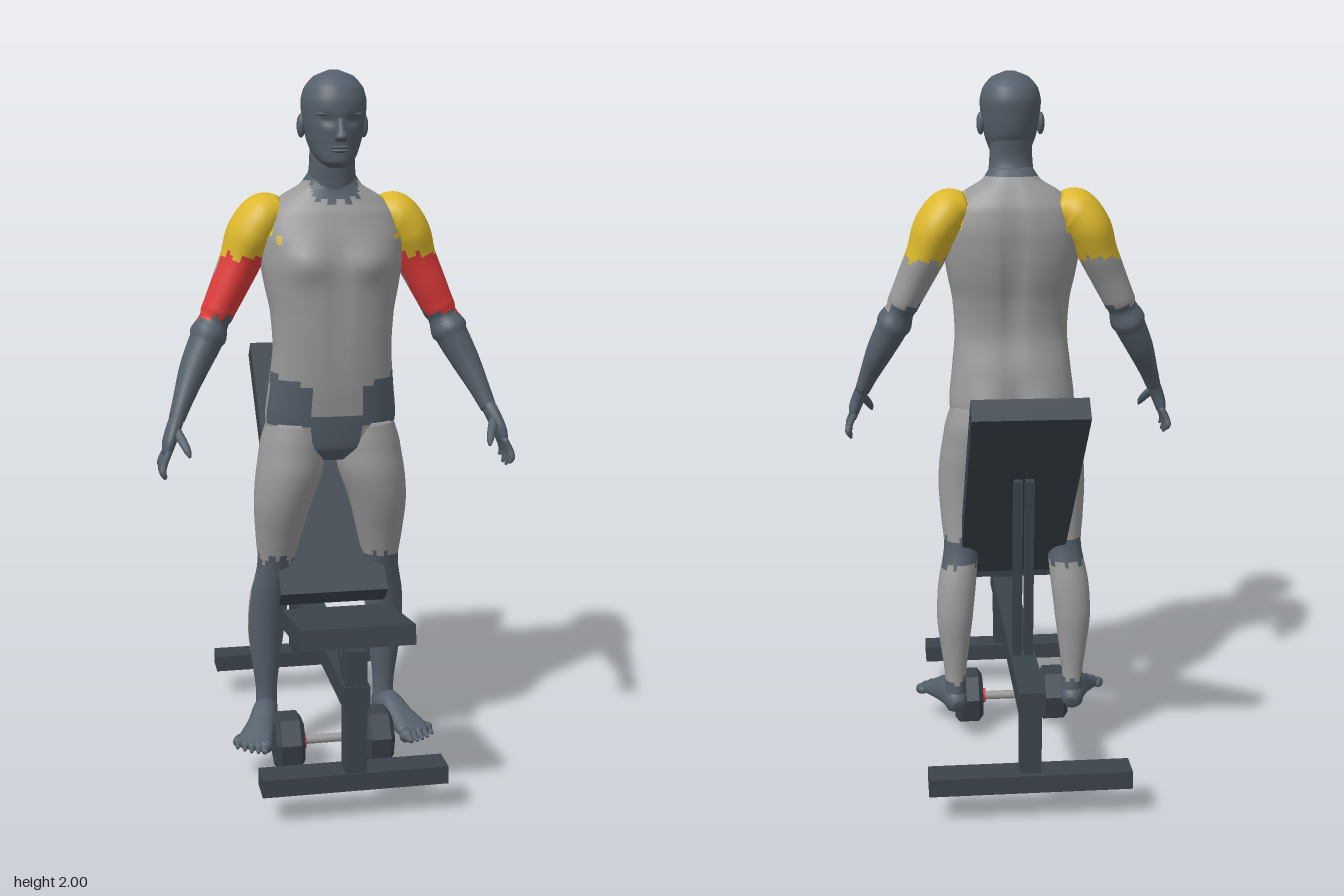
import * as THREE from 'three';

const mat = (name, color) => Object.assign(new THREE.MeshStandardMaterial({ color }), { name });
const slate = mat('slate skin', 0x55606b);
const grey = mat('grey muscle', 0x999999);
const yellow = mat('yellow shoulder muscle', 0xdcb82c);
const red = mat('red upper arm muscle', 0xe03c3a);
const steel = mat('dark steel', 0x3b444c);
const BODY = [slate, grey, yellow, red];
const [S, G, Y, R] = [0, 1, 2, 3];
const V = (x, y, z) => new THREE.Vector3(x, y, z);
const FRONT = V(0, 0, 1), UP = V(0, 1, 0), DOWN = V(0, -1, 0);
const bump = (v, c, r) => Math.exp(-(((v - c) / r) ** 2));

// Loft of rounded rings; each section is [x, y, z, half width, half depth].
// ref is the depth direction, axis (optional) keeps all rings parallel,
// pick chooses a body colour for each face, warp moves single points.
function loft(name, sections, { ref = FRONT, axis, pick = () => S, warp, steps = 6, seg = 32, square = 0.9 } = {}) {
  const path = new THREE.CatmullRomCurve3(sections.map(s => V(s[0], s[1], s[2])));
  const size = new THREE.CatmullRomCurve3(sections.map(s => V(s[3], s[4], 0)));
  const rows = (sections.length - 1) * steps, pts = [];
  const pw = v => Math.sign(v) * Math.abs(v) ** square;
  for (let i = 0; i <= rows; i++) {
    const u = i / rows, c = path.getPoint(u), r = size.getPoint(u);
    const t = axis ? axis.clone() : path.getTangent(u);
    const f = ref.clone().addScaledVector(t, -ref.dot(t)).normalize();
    const s = f.clone().cross(t);
    for (let j = 0; j < seg; j++) {
      const a = j / seg * Math.PI * 2;
      const p = c.clone().addScaledVector(s, pw(Math.cos(a)) * r.x).addScaledVector(f, pw(Math.sin(a)) * r.y);
      if (warp) warp(p);
      pts.push(p);
    }
  }
  pts.push(path.getPoint(0), path.getPoint(1));
  const first = (rows + 1) * seg, faces = [[], [], [], []];
  const add = (a, b, c, k) => faces[k].push(a, b, c);
  for (let j = 0; j < seg; j++) {
    const k = (j + 1) % seg, end = rows * seg;
    for (let i = 0; i < rows; i++) {
      const a = i * seg + j, b = i * seg + k, c = a + seg, d = b + seg;
      const m = pts[a].clone().add(pts[d]).multiplyScalar(0.5);
      const col = pick(m);
      add(a, b, c, col);
      add(b, d, c, col);
    }
    add(first, k, j, pick(pts[j]));
    add(first + 1, end + j, end + k, pick(pts[end + j]));
  }
  const geo = new THREE.BufferGeometry().setFromPoints(pts);
  geo.setIndex(faces.flat());
  let start = 0;
  faces.forEach((f, k) => { if (f.length) geo.addGroup(start, f.length, k); start += f.length; });
  geo.computeVertexNormals();
  const mesh = new THREE.Mesh(geo, BODY);
  mesh.name = name;
  return mesh;
}

function part(name, geo, material, x, y, z, rx = 0) {
  const m = new THREE.Mesh(geo, material);
  m.name = name;
  m.position.set(x, y, z);
  m.rotation.x = rx;
  return m;
}
const box = (name, w, h, d, x, y, z, rx) => part(name, new THREE.BoxGeometry(w, h, d), steel, x, y, z, rx);
function blob(name, x, y, z, rx, ry, rz) {
  const m = part(name, new THREE.SphereGeometry(1, 16, 12), slate, x, y, z);
  m.scale.set(rx, ry, rz);
  return m;
}

// Colour rules
const ragged = p => 0.007 * Math.sin(p.x * 170) + 0.006 * Math.sin(p.z * 150);
function torsoColour(p) {
  const x = Math.abs(p.x), w = ragged(p);
  if (p.y > 1.705 || (p.y > 1.655 + w && x < 0.065 && p.z > 0.12)) return S;
  if (p.y > 1.55 + w && x > (p.z > 0.1 ? 0.165 : 0.145) + w) return Y;
  if (p.z > 0.125 && x > 0.07 && p.y > 1.03 && p.y < 1.13 + x * 0.28) return S;
  if (p.z > 0.08 && x < 0.075 && p.y < 1.06) return S;
  return G;
}
function armColour(p) {
  const w = ragged(p);
  if (p.y > (p.z > 0.08 ? 1.505 : 1.475) + w) return Y;
  if (p.y < 1.335 + w) return S;
  return p.z > 0.093 ? R : G;
}
function legColour(p) {
  const w = ragged(p);
  if (p.y > 0.635 + w) return G;
  if (p.y > 0.56 + w || p.y < 0.2 + w) return S;
  return p.z < 0.04 + (p.y - 0.4) * 0.12 ? G : S;
}

function torso() {
  const warp = p => {
    const x = Math.abs(p.x);
    if (p.z > 0.12) { // chest and midline of the belly
      p.z += 0.022 * bump(x, 0.085, 0.06) * bump(p.y, 1.49, 0.05);
      p.z -= 0.008 * bump(x, 0, 0.015) * bump(p.y, 1.38, 0.16);
    } else { // buttocks and spine groove
      p.z -= 0.018 * bump(x, 0.085, 0.055) * bump(p.y, 1.03, 0.07);
      p.z += 0.02 * bump(x, 0, 0.025) * (bump(p.y, 1.4, 0.2) + bump(p.y, 1.02, 0.08));
    }
  };
  return loft('torso', [
    [0, 0.93, 0.1, 0.06, 0.06], [0, 0.97, 0.1, 0.16, 0.097], [0, 1.05, 0.105, 0.185, 0.108],
    [0, 1.15, 0.117, 0.175, 0.112], [0, 1.25, 0.132, 0.166, 0.107], [0, 1.35, 0.13, 0.172, 0.115],
    [0, 1.42, 0.122, 0.186, 0.125], [0, 1.48, 0.115, 0.196, 0.128], [0, 1.55, 0.107, 0.2, 0.125],
    [0, 1.62, 0.1, 0.18, 0.11], [0, 1.665, 0.1, 0.135, 0.088], [0, 1.695, 0.105, 0.085, 0.074],
    [0, 1.73, 0.115, 0.06, 0.058],
  ], { axis: UP, pick: torsoColour, warp, seg: 56, square: 0.84 });
}

function head() {
  const g = new THREE.Group();
  g.name = 'head';
  const warp = p => { // eye sockets
    if (p.z > 0.2) p.z -= 0.012 * bump(Math.abs(p.x), 0.034, 0.018) * bump(p.y, 1.865, 0.013);
  };
  g.add(loft('neck', [[0, 1.63, 0.11, 0.07, 0.07], [0, 1.7, 0.117, 0.067, 0.067], [0, 1.75, 0.128, 0.062, 0.063],
    [0, 1.82, 0.125, 0.06, 0.07]], { axis: UP }));
  g.add(loft('skull', [
    [0, 1.742, 0.2, 0.02, 0.03], [0, 1.755, 0.192, 0.042, 0.056], [0, 1.78, 0.165, 0.06, 0.086],
    [0, 1.815, 0.153, 0.073, 0.1], [0, 1.86, 0.15, 0.082, 0.109], [0, 1.91, 0.147, 0.087, 0.112],
    [0, 1.95, 0.146, 0.079, 0.1], [0, 1.982, 0.147, 0.052, 0.066], [0, 1.998, 0.148, 0.012, 0.015],
  ], { axis: UP, warp, seg: 48 }));
  g.add(loft('nose', [[0, 1.872, 0.248, 0.009, 0.012], [0, 1.84, 0.26, 0.011, 0.016],
    [0, 1.822, 0.265, 0.017, 0.02], [0, 1.81, 0.257, 0.012, 0.012]], { axis: DOWN, seg: 16 }));
  for (const y of [1.787, 1.796]) g.add(blob('lip', 0, y, 0.245, 0.026, 0.0055, 0.014));
  for (const m of [1, -1]) {
    g.add(blob('ear', m * 0.086, 1.852, 0.135, 0.012, 0.032, 0.02));
    g.add(blob('eye', m * 0.034, 1.864, 0.226, 0.013, 0.009, 0.011));
    g.add(blob('brow', m * 0.036, 1.882, 0.235, 0.026, 0.006, 0.014));
  }
  return g;
}

function arm(m) {
  const g = new THREE.Group(), mir = a => a.map(([x, ...r]) => [x * m, ...r]);
  g.name = m > 0 ? 'leftArm' : 'rightArm';
  g.add(loft('armMuscles', mir([
    [0.13, 1.62, 0.088, 0.045, 0.065], [0.18, 1.605, 0.085, 0.068, 0.095], [0.218, 1.56, 0.08, 0.067, 0.1],
    [0.247, 1.49, 0.08, 0.058, 0.082], [0.28, 1.42, 0.087, 0.052, 0.068], [0.318, 1.34, 0.092, 0.046, 0.057],
    [0.35, 1.27, 0.108, 0.046, 0.057], [0.385, 1.2, 0.13, 0.04, 0.05], [0.42, 1.12, 0.168, 0.028, 0.035],
    [0.44, 1.07, 0.19, 0.022, 0.029],
  ]), { pick: armColour, square: 1 }));
  g.add(loft('palm', mir([[0.435, 1.085, 0.185, 0.02, 0.026], [0.452, 1.045, 0.207, 0.02, 0.036],
    [0.465, 1.01, 0.218, 0.018, 0.043], [0.472, 0.98, 0.222, 0.012, 0.04]]), { seg: 20 }));
  const finger = (name, a) => g.add(loft(name, mir(a), { seg: 10, steps: 4 }));
  for (let i = 0; i < 4; i++) {
    const z = 0.187 + i * 0.023, tip = 0.172 + i * 0.033, low = 0.935 - [0.005, 0.02, 0.02, 0.008][i];
    finger('finger', [[0.467, 0.995, z, 0.009, 0.011], [0.483, 0.96, (z + tip) / 2, 0.01, 0.01],
      [0.486, (low + 0.955) / 2, tip, 0.009, 0.009], [0.478, low, tip + 0.003, 0.004, 0.004]]);
  }
  finger('thumb', [[0.446, 1.045, 0.225, 0.014, 0.014], [0.43, 1.02, 0.258, 0.012, 0.012],
    [0.42, 1.0, 0.28, 0.01, 0.01], [0.415, 0.985, 0.292, 0.004, 0.004]]);
  return g;
}

function leg(m) {
  const g = new THREE.Group(), mir = a => a.map(([x, ...r]) => [x * m, ...r]);
  g.name = m > 0 ? 'leftLeg' : 'rightLeg';
  g.add(loft('legMuscles', mir([
    [0.1, 1.04, 0.1, 0.08, 0.1], [0.107, 0.97, 0.1, 0.094, 0.108], [0.117, 0.9, 0.107, 0.095, 0.106],
    [0.138, 0.8, 0.107, 0.082, 0.088], [0.148, 0.7, 0.09, 0.066, 0.069], [0.156, 0.6, 0.07, 0.052, 0.056],
    [0.17, 0.5, 0.045, 0.057, 0.055], [0.178, 0.4, 0.03, 0.054, 0.051], [0.179, 0.3, 0.027, 0.042, 0.041],
    [0.178, 0.2, 0.025, 0.031, 0.034], [0.178, 0.13, 0.026, 0.033, 0.038],
  ]), { axis: DOWN, pick: legColour, square: 1 }));
  g.add(loft('foot', mir([[0.172, 0.122, -0.014, 0.018, 0.02], [0.177, 0.132, 0.01, 0.033, 0.04],
    [0.188, 0.14, 0.06, 0.037, 0.047], [0.208, 0.127, 0.12, 0.042, 0.036], [0.232, 0.113, 0.175, 0.05, 0.022],
    [0.243, 0.107, 0.205, 0.046, 0.013]]), { ref: UP, seg: 24 }));
  for (let i = 0; i < 5; i++) {
    const x = 0.211 + i * 0.018, r = i ? 0.009 : 0.013, z = 0.238 - i * i * 0.0028;
    g.add(loft('toe', mir([[x - 0.01, 0.11, z - 0.05, r, r], [x, 0.106, z - 0.012, r, r],
      [x + 0.004, 0.103, z + 0.01, r * 0.5, r * 0.5]]), { ref: UP, seg: 10, steps: 4 }));
  }
  return g;
}

function bench() {
  const g = new THREE.Group();
  g.name = 'bench';
  g.add(
    box('backPad', 0.31, 0.066, 0.886, 0, 0.838, -0.154, Math.PI / 4),
    box('seatPad', 0.31, 0.055, 0.32, 0, 0.509, 0.365, -0.155),
    box('mainBeam', 0.072, 0.063, 1.03, 0, 0.357, -0.01),
    box('frontPost', 0.058, 0.35, 0.063, 0, 0.312, 0.468),
    box('frontBase', 0.512, 0.05, 0.083, 0, 0.115, 0.462),
    box('rearPost', 0.058, 0.2, 0.06, 0, 0.235, -0.461),
    box('rearBase', 0.556, 0.05, 0.083, 0, 0.115, -0.467),
    box('seatBrace', 0.05, 0.15, 0.04, 0, 0.435, 0.39, -0.6),
  );
  for (const x of [-0.016, 0.016]) g.add(box('backStrut', 0.024, 0.53, 0.045, x, 0.645, -0.258, -0.07));
  return g;
}

function dumbbell() {
  const g = new THREE.Group();
  g.name = 'dumbbell';
  const bar = (name, r0, r1, len, x, sides, material) => {
    const m = part(name, new THREE.CylinderGeometry(r0, r1, len, sides, 1, false, -Math.PI / 2).toNonIndexed(), material, x, 0.087, 0.145);
    if (sides < 10) m.geometry.computeVertexNormals();
    m.rotation.z = Math.PI / 2; // cylinder top points to -x
    g.add(m);
  };
  bar('handle', 0.013, 0.013, 0.2, 0, 16, grey);
  for (const m of [1, -1]) {
    bar('weight', 0.087, 0.087, 0.056, m * 0.132, 7, steel);
    for (const s of [1, -1]) { // bevelled ends
      const outer = s * m > 0;
      bar('weightBevel', s > 0 ? 0.068 : 0.087, s > 0 ? 0.087 : 0.068, 0.014, m * 0.132 - s * 0.035, 7, steel);
    }
    bar('collar', 0.022, 0.022, 0.012, m * 0.086, 16, red);
  }
  return g;
}

export function createModel() {
  const g = new THREE.Group();
  g.name = 'athleteWithBench';
  g.add(torso(), head(), bench(), dumbbell());
  for (const m of [1, -1]) g.add(arm(m), leg(m));
  return g;
}
